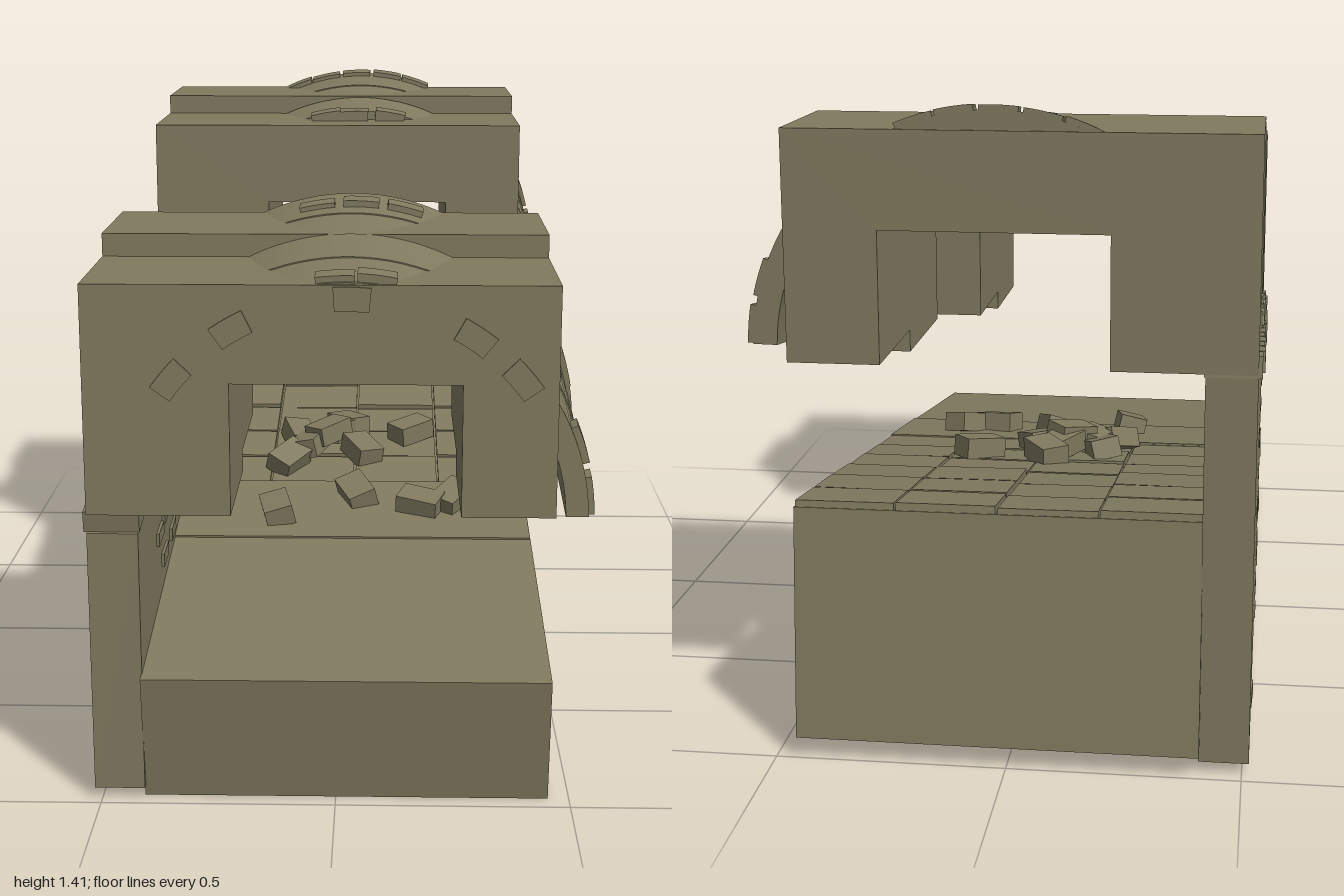
import * as THREE from 'three';
import { toCreasedNormals } from 'three/addons/utils/BufferGeometryUtils.js';

const SLOPE = 0.1415;                       // rise per unit towards the back
const TILT = Math.atan(SLOPE);
const floorY = (z) => 0.285 + 0.1454 * (1 - z);
const wallY = (z) => 0.6 + 0.1385 * (0.98 - z);
const CX = 0.025;                           // vault axis

let seed = 11;
const rnd = () => (seed = (seed * 16807) % 2147483647) / 2147483647;
const vary = (a) => (rnd() - 0.5) * 2 * a;

export function createModel() {
  const root = new THREE.Group();
  root.name = 'ruinedPassage';
  const stone = new THREE.MeshStandardMaterial({ color: 0x807a5f });
  stone.name = 'stone';

  const group = (name) => {
    const g = new THREE.Group();
    g.name = name;
    root.add(g);
    return g;
  };
  const add = (parent, name, geo) => {
    const m = new THREE.Mesh(geo, stone);
    m.name = name;
    parent.add(m);
    return m;
  };
  const box = (parent, name, size, pos, rot = [0, 0, 0]) => {
    const m = add(parent, name, new THREE.BoxGeometry(...size));
    m.position.set(...pos);
    m.rotation.set(...rot);
    return m;
  };
  // Outline in (z, y), given clockwise or not, extruded along x
  const sideExtrude = (points, x0, x1) => {
    const shape = new THREE.Shape(points.map(([z, y]) => new THREE.Vector2(-z, y)));
    const g = new THREE.ExtrudeGeometry(shape, { depth: x1 - x0, bevelEnabled: false });
    g.rotateY(Math.PI / 2);
    g.translate(x0, 0, 0);
    return g;
  };

  // Ramp: six tilted blocks with saw-tooth undersides
  const ramp = group('ramp');
  const tops = [1, 0.68, 0.355, 0.03, -0.295, -0.62, -0.96];
  for (let i = 0; i < 6; i++) {
    const a = tops[i], b = tops[i + 1], drop = i > 2 ? 0.012 : 0;
    const zA = 0.96 - i * 0.328, zB = zA - 0.322;
    add(ramp, 'rampBlock', sideExtrude(
      [[a, floorY(a) - drop], [b, floorY(b) - drop], [zB, 0.05], [zA, 0.003]], -0.41, 0.455));
  }

  // Paving on the upper half of the ramp
  const paving = group('paving');
  const rows = 6, pitch = 0.99 / rows;
  for (let r = 0; r < rows; r++) {
    for (let c = 0; c < 4; c++) {
      const z = 0.03 - (r + 0.5) * pitch;
      box(paving, 'pavingSlab', [0.211, 0.024, pitch - 0.005],
        [-0.302 + c * 0.216, floorY(z) - 0.011 + vary(0.004), z],
        [TILT + vary(0.012), 0, vary(0.008)]);
    }
  }
  box(paving, 'pavingStep', [0.863, 0.012, 0.32], [0.0225, floorY(0.19) - 0.002, 0.19], [TILT, 0, 0]);

  // Side wall with a sloping top
  const wall = group('sideWall');
  add(wall, 'wallBody', sideExtrude(
    [[0.98, 0.028], [0.98, wallY(0.98)], [-0.97, wallY(-0.97)], [-0.97, 0.028]], -0.515, -0.408));

  // Cap course along the wall, partly buried under the roof blocks
  for (let i = 0; i < 18; i++) {
    const z = 0.925 - i * 0.1084;
    const open = z < 0.33 && z > -0.31;
    box(wall, 'capBrick', [0.122 + vary(0.006), 0.046, 0.1],
      [-0.464 + (open ? vary(0.006) : 0), wallY(z) + 0.022, z],
      [TILT, open ? vary(0.06) : 0, 0]);
  }
  // Loose bricks left on the open stretch
  for (const [z, lift, t] of [[0.27, 0.06, 0.1], [0.2, 0.05, 0.3], [0.09, 0.06, 0.04],
    [-0.07, 0.055, 0.1], [-0.22, 0.06, 0.3], [-0.28, 0.06, 0.2]]) {
    box(wall, 'looseCapBrick', [0.11, 0.042, 0.11], [-0.462, wallY(z) + lift, z], [t, vary(0.15), 0]);
  }
  // Slightly raised bricks on both wall faces
  for (let i = 0; i < 34; i++) {
    const z = vary(0.85), inner = i % 3 === 0;
    const lo = inner ? floorY(z) + 0.05 : 0.12;
    const y = lo + rnd() * (wallY(z) - lo - 0.05);
    box(wall, 'raisedBrick', [0.009, 0.03, 0.09],
      [inner ? -0.406 : -0.5135, y, z], [TILT * 0.3, vary(0.03), 0]);
  }

  // Roof: four stepped blocks, each with a square passage
  const roof = group('roof');
  const section = (zBack, zFront, base) => {
    const pts = [[-0.515, 0], [-0.215, 0], [-0.215, 0.28], [0.26, 0.28],
      [0.26, 0], [0.455, 0], [0.455, 0.485], [-0.515, 0.485]];
    const s = new THREE.Shape(pts.map(([x, y]) => new THREE.Vector2(x, y)));
    const g = new THREE.ExtrudeGeometry(s, { depth: zFront - zBack, bevelEnabled: false });
    add(roof, 'roofBlock', g).position.set(0, base, zBack);
  };
  section(0.655, 0.98, 0.64);
  section(0.335, 0.655, 0.69);
  section(-0.65, -0.315, 0.826);
  section(-0.97, -0.65, 0.875);

  // Curved vault shells that break through the roof and its side
  const vault = group('vault');
  const arcPiece = (rIn, rOut, a0, a1, depth, segs) => {
    const s = new THREE.Shape();
    s.absarc(0, 0, rOut, a0, a1, false);
    s.absarc(0, 0, rIn, a1, a0, true);
    const g = new THREE.ExtrudeGeometry(s, { depth, bevelEnabled: false, curveSegments: segs });
    const p = g.attributes.position;
    for (let i = 0; i < p.count; i++) p.setY(i, p.getY(i) - SLOPE * p.getZ(i));
    return toCreasedNormals(g, 0.5);
  };
  const shell = (zBack, zFront, n) => {
    const d = (zFront - zBack) / n;
    for (let i = 0; i < n; i++) {
      const z = zBack + i * d;
      add(vault, 'vaultShell', arcPiece(0.45, i % 2 ? 0.497 : 0.5, 0.02, Math.PI - 0.02, d, 28))
        .position.set(CX, wallY(z) + 0.032, z);
    }
  };
  shell(0.338, 0.975, 4);
  shell(-0.967, -0.48, 3);

  // Brick ribs over the vault: [z, angles of the bricks that remain]
  const ribs = [
    [0.93, [0.1, 0.32, 1.45, 1.62]],
    [0.41, [0.12, 0.24, 1.33, 1.53, 1.73]],
    [-0.475, [0.08, 0.2, 1.4, 1.6, 1.75]],
    [-0.965, [0.1, 0.3, 1.25, 1.42, 1.6, 1.78, 1.95]],
  ];
  for (const [z, angles] of ribs) {
    for (const a of angles) {
      add(vault, 'ribBrick', arcPiece(0.47, 0.507 + rnd() * 0.006, a - 0.08, a + 0.08, 0.04, 4))
        .position.set(CX, wallY(z) + 0.034, z);
    }
  }
  // Arch bricks just showing on the front face
  for (const a of [0.7, 0.98, 1.55, 2.1, 2.45]) {
    add(vault, 'faceBrick', arcPiece(0.44, 0.49, a - 0.08, a + 0.08, 0.02, 4))
      .position.set(CX, wallY(0.98) + 0.034, 0.963);
  }

  // Fallen bricks on the ramp: [x, z, turn, lift]
  const rubble = group('rubble');
  const fallen = [
    [0.03, 0.14, 0.4, 0], [-0.165, 0.24, 0.2, 0], [0.19, 0.2, 1.2, 0], [0.27, 0.17, -0.6, 0],
    [0.17, -0.25, -0.9, 0], [0.04, -0.12, 0.5, 0], [-0.15, -0.06, -0.6, 0], [-0.1, -0.13, -0.3, 0.01],
    [-0.05, -0.17, -0.8, 0.03], [-0.13, -0.21, 0.3, 0], [-0.03, -0.22, -0.5, 0.01], [0.0, -0.29, 0.6, 0],
  ];
  for (const [x, z, turn, lift] of fallen) {
    box(rubble, 'fallenBrick', [0.07, 0.05, 0.105], [x, floorY(z) + 0.024 + lift, z],
      [TILT + vary(0.2), turn, vary(0.25)]);
  }

  return root;
}
